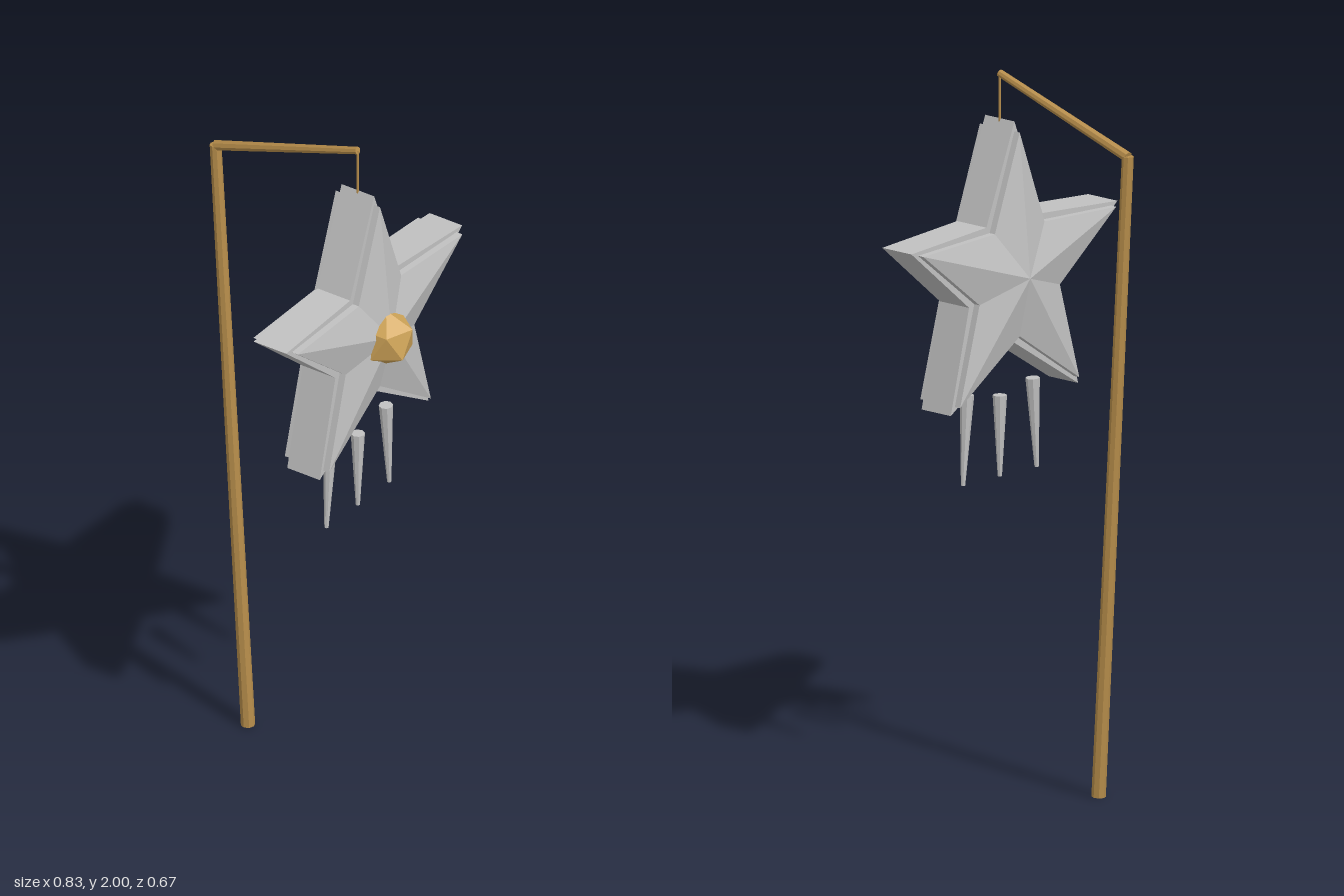
import * as THREE from 'three';

const CENTER_Y = 1.424;
const STAR_Z = 0.165;

// Ten alternating outer and inner corners of a five-pointed star, anticlockwise
function starPoints(outer, inner) {
  return Array.from({ length: 10 }, (_, i) => {
    const a = Math.PI / 2 + (i * Math.PI) / 5;
    const r = i % 2 ? inner : outer;
    return new THREE.Vector2(r * Math.cos(a), r * Math.sin(a));
  });
}

// Raised star face: a short rim, then facets rising to a central apex on +z
function starCapGeometry(outer, inner, z0, z1, apex) {
  const pts = starPoints(outer, inner);
  const pos = [];
  pts.forEach((p, i) => {
    const q = pts[(i + 1) % pts.length];
    pos.push(p.x, p.y, z0, q.x, q.y, z0, q.x, q.y, z1);
    pos.push(p.x, p.y, z0, q.x, q.y, z1, p.x, p.y, z1);
    pos.push(p.x, p.y, z1, q.x, q.y, z1, 0, 0, apex);
  });
  const g = new THREE.BufferGeometry();
  g.setAttribute('position', new THREE.Float32BufferAttribute(pos, 3));
  g.computeVertexNormals();
  return g;
}

// Tapered rod from point a to point b
function rod(name, a, b, ra, rb, sides, material) {
  const from = new THREE.Vector3(...a);
  const dir = new THREE.Vector3(...b).sub(from);
  const g = new THREE.CylinderGeometry(rb, ra, dir.length(), sides).toNonIndexed();
  g.computeVertexNormals();
  const mesh = new THREE.Mesh(g, material);
  mesh.name = name;
  mesh.position.copy(from).addScaledVector(dir, 0.5);
  mesh.quaternion.setFromUnitVectors(new THREE.Vector3(0, 1, 0), dir.normalize());
  return mesh;
}

function createModel() {
  const material = (name, color) => {
    const m = new THREE.MeshStandardMaterial({ color, flatShading: true });
    m.name = name;
    return m;
  };
  const silver = material('silver', 0xc0c0c0);
  const brass = material('brass', 0xcfa458);
  const darkBrass = material('darkBrass', 0xb58c4a);

  const model = new THREE.Group();
  model.name = 'hangingStarLantern';

  // Star lantern: thick body with a faceted cap on each side
  const star = new THREE.Group();
  star.name = 'star';
  star.position.set(0, CENTER_Y, STAR_Z);
  const bodyGeometry = new THREE.ExtrudeGeometry(new THREE.Shape(starPoints(0.436, 0.192)), {
    depth: 0.11, bevelEnabled: false,
  }).translate(0, 0, -0.055);
  const body = new THREE.Mesh(bodyGeometry, silver);
  body.name = 'starBody';
  star.add(body);

  const capGeometry = starCapGeometry(0.408, 0.17, 0.05, 0.075, 0.115);
  for (const [name, turn] of [['frontCap', 0], ['backCap', Math.PI]]) {
    const cap = new THREE.Mesh(capGeometry, silver);
    cap.name = name;
    cap.rotation.y = turn;
    star.add(cap);
  }
  model.add(star);

  // Faceted gem, turned so that one corner points straight up
  const tilt = Math.atan(2 / (1 + Math.sqrt(5)));
  const gem = new THREE.Mesh(new THREE.IcosahedronGeometry(0.085, 0).rotateZ(-tilt), brass);
  gem.name = 'gem';
  gem.position.set(0, 1.42, 0.261);
  model.add(gem);

  // Leaning pole, arm and hanging cord
  model.add(rod('pole', [0, 0, -0.207], [0, 1.835, -0.317], 0.02, 0.0165, 8, darkBrass));
  model.add(rod('arm', [0, 1.832, -0.317], [0, 1.988, 0.165], 0.015, 0.011, 8, darkBrass));
  model.add(rod('cord', [0, 1.85, STAR_Z], [0, 1.988, STAR_Z], 0.004, 0.004, 6, darkBrass));

  // Three pendants below the star, the outer ones splayed
  for (const [name, side] of [['rightPendant', -1], ['middlePendant', 0], ['leftPendant', 1]]) {
    const top = side ? 1.1 : 1.075;
    model.add(rod(name, [side * 0.148, 0.845, STAR_Z], [side * 0.132, top, STAR_Z],
      0.006, 0.02, 8, silver));
  }
  return model;
}

export { createModel };
